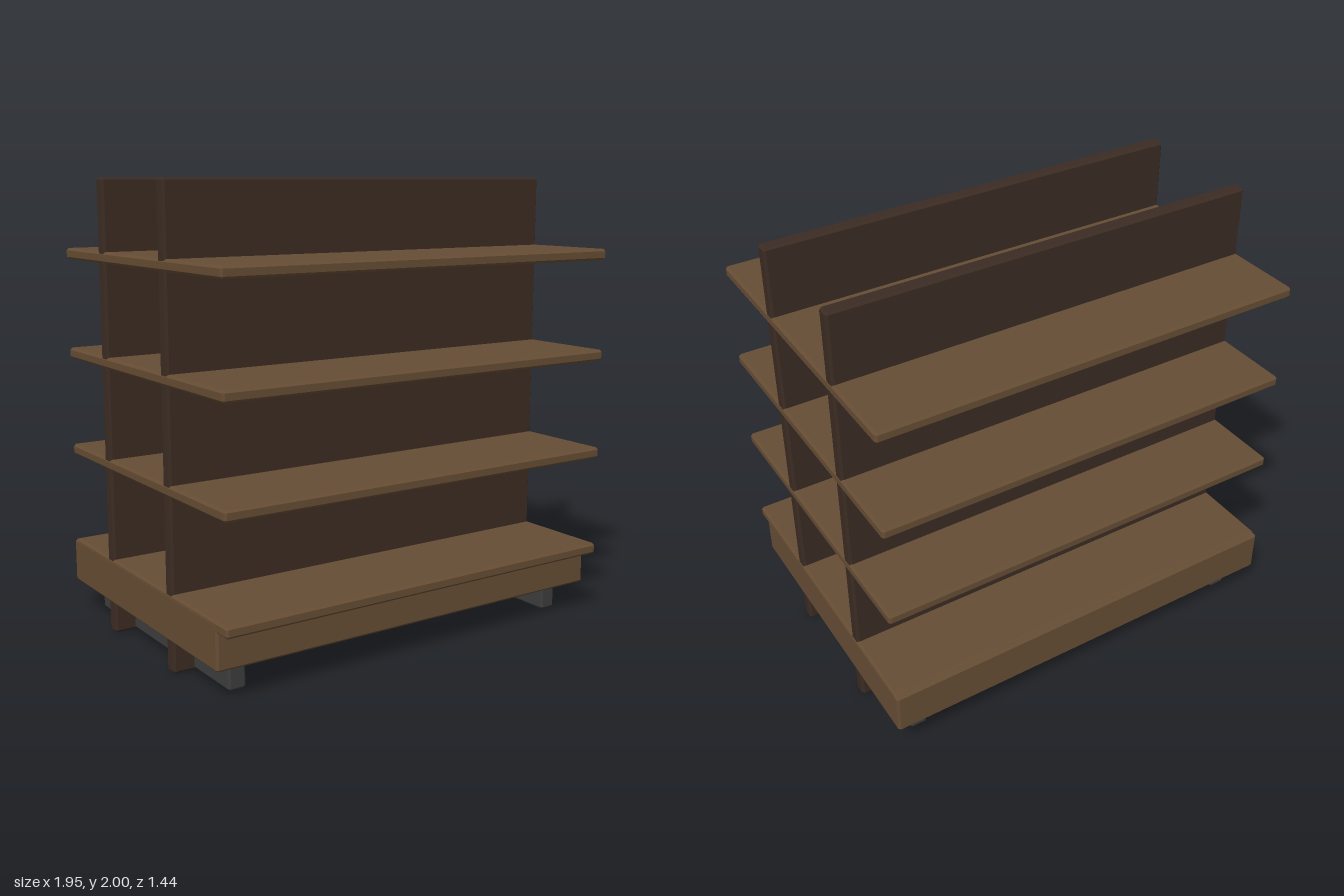
import * as THREE from 'three';
import { ConvexGeometry } from 'three/addons/geometries/ConvexGeometry.js';

// Box with chamfered edges, given by its limits
function chamferBox(x0, x1, y0, y1, z0, z1, b = 0.01) {
  const h = [(x1 - x0) / 2, (y1 - y0) / 2, (z1 - z0) / 2];
  const points = [];
  for (const sx of [-1, 1]) for (const sy of [-1, 1]) for (const sz of [-1, 1]) {
    for (let full = 0; full < 3; full++) {
      const d = h.map((v, i) => (i === full ? v : v - b));
      points.push(new THREE.Vector3(sx * d[0], sy * d[1], sz * d[2]));
    }
  }
  const geometry = new ConvexGeometry(points);
  geometry.translate((x0 + x1) / 2, (y0 + y1) / 2, (z0 + z1) / 2);
  return geometry;
}

export function createModel() {
  const group = new THREE.Group();
  const material = (name, color) => {
    const m = new THREE.MeshStandardMaterial({ color });
    m.name = name;
    return m;
  };
  const wood = material('shelf wood', 0x664d34);
  const darkWood = material('dark panel wood', 0x3b2c23);
  const grey = material('grey runner', 0x3d3d3d);

  const add = (name, mat, ...limits) => {
    const mesh = new THREE.Mesh(chamferBox(...limits), mat);
    mesh.name = name;
    group.add(mesh);
  };

  // Two upright panels running the full width and height
  add('frontPanel', darkWood, -0.972, 0.972, 0, 2, 0.212, 0.274);
  add('backPanel', darkWood, -0.972, 0.972, 0, 2, -0.352, -0.29);

  // Shelves passing through the panels; the lowest lies on the base
  [0.29, 0.742, 1.19, 1.64].forEach((y, i) =>
    add('shelf' + (i + 1), wood, -0.974, 0.974, y, y + 0.049, -0.702, 0.722));

  // Plinth under the lowest shelf, set back at the front
  add('base', wood, -0.975, 0.975, 0.132, 0.332, -0.722, 0.644);

  // Floor runners
  for (const side of [1, -1]) {
    add(side > 0 ? 'leftRunner' : 'rightRunner', grey,
      side * 0.838 - 0.04, side * 0.838 + 0.04, 0.004, 0.142, -0.635, 0.562);
  }
  return group;
}
